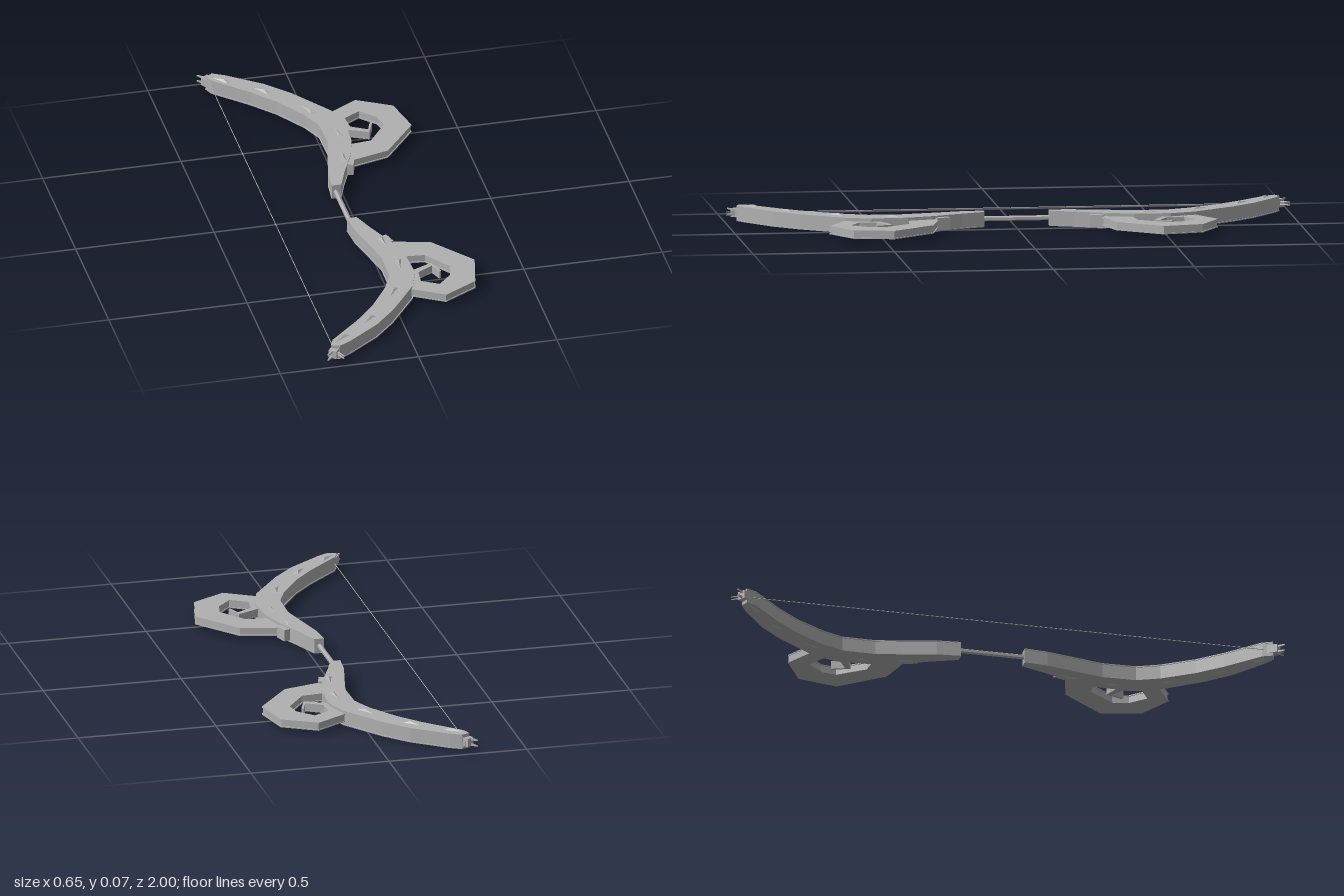
import * as THREE from 'three';

const steel = new THREE.MeshStandardMaterial({ color: 0xb0b0b0, flatShading: true });
steel.name = 'grey';

const MID = 0.035; // height of the flat weapon's centre plane

// Paired edge points [x1, z1, x2, z2] across each strip, on the +z half
const LIMB = [
  [-0.048, 0.115, -0.012, 0.115], [-0.04, 0.2, 0.02, 0.2], [-0.012, 0.32, 0.068, 0.31],
  [0.008, 0.41, 0.093, 0.4], [0.006, 0.53, 0.1, 0.53], [-0.028, 0.61, 0.07, 0.62],
  [-0.1, 0.72, -0.037, 0.767], [-0.175, 0.805, -0.115, 0.85], [-0.29, 0.915, -0.235, 0.94],
  [-0.305, 0.95, -0.275, 0.962],
];
const CURL = [
  [0.06, 0.285, 0.06, 0.395], [0.206, 0.323, 0.164, 0.405], [0.328, 0.476, 0.233, 0.5],
  [0.296, 0.62, 0.222, 0.555], [0.175, 0.688, 0.17, 0.61], [0.06, 0.62, 0.11, 0.575],
  [0.09, 0.5, 0.115, 0.515], [0.172, 0.462, 0.172, 0.482], [0.196, 0.522, 0.189, 0.528],
];
// Studs along the limb: x, z
const STUDS = [[0.037, 0.29], [0.06, 0.45], [-0.003, 0.635], [-0.127, 0.8], [-0.25, 0.905]];

function add(parent, geometry, name) {
  const mesh = new THREE.Mesh(geometry, steel);
  mesh.name = name;
  parent.add(mesh);
  return mesh;
}

// Flat slab from paired edges, narrowed by the inset fraction
function slab(pairs, side, inset, y0, y1) {
  const a = [], b = [];
  for (const [x1, z1, x2, z2] of pairs) {
    const dx = (x2 - x1) * inset, dz = (z2 - z1) * inset;
    a.push(new THREE.Vector2(x1 + dx, side * (z1 + dz)));
    b.push(new THREE.Vector2(x2 - dx, side * (z2 - dz)));
  }
  const g = new THREE.ExtrudeGeometry(new THREE.Shape([...a, ...b.reverse()]), {
    depth: y1 - y0, bevelEnabled: false,
  });
  return g.rotateX(Math.PI / 2).translate(0, y1, 0);
}

// Inset core between two thin rim plates
function rimmed(parent, pairs, side, half, name) {
  const rim = 0.004;
  add(parent, slab(pairs, side, 0.04, MID - half + rim, MID + half - rim), name + 'Core');
  add(parent, slab(pairs, side, 0, MID + half - rim, MID + half), name + 'TopRim');
  add(parent, slab(pairs, side, 0, MID - half, MID - half + rim), name + 'BottomRim');
}

// Tapered rod between two points
function rod(parent, from, to, r0, r1, sides, name) {
  const a = new THREE.Vector3(...from), b = new THREE.Vector3(...to);
  const dir = b.clone().sub(a);
  const mesh = add(parent, new THREE.CylinderGeometry(r1, r0, dir.length(), sides), name);
  mesh.position.copy(a).add(b).multiplyScalar(0.5);
  mesh.quaternion.setFromUnitVectors(new THREE.Vector3(0, 1, 0), dir.normalize());
}

function makeHalf(side) {
  const half = new THREE.Group();
  half.name = side > 0 ? 'frontHalf' : 'backHalf';
  rimmed(half, LIMB, side, 0.027, 'limb');
  rimmed(half, CURL, side, 0.015, 'curl');

  // Block where the curl joins the limb
  const joint = add(half, new THREE.BoxGeometry(0.035, 0.042, 0.05), 'curlJoint');
  joint.position.set(0.054, MID, side * 0.275);
  joint.rotation.y = side * 0.3;

  // Low three-sided studs on both faces, following the limb
  STUDS.forEach(([x, z], i) => {
    const [px, pz] = STUDS[Math.max(i - 1, 0)], [nx, nz] = STUDS[Math.min(i + 1, 4)];
    const angle = Math.atan2(nx - px, side * (nz - pz));
    for (const up of [1, -1]) {
      const g = new THREE.ConeGeometry(1, 0.008, 3).scale(0.015, 1, 0.052);
      if (up < 0) g.rotateZ(Math.PI);
      const stud = add(half, g, 'stud');
      stud.position.set(x, MID + up * 0.03, side * z);
      stud.rotation.y = angle;
    }
  });

  // Tip: short block and splayed prongs
  const block = add(half, new THREE.BoxGeometry(0.03, 0.03, 0.04), 'tipBlock');
  block.position.set(-0.293, MID, side * 0.955);
  block.rotation.y = -side * 0.6;
  for (const dy of [-0.009, 0.009]) {
    rod(half, [-0.288, MID + dy, side * 0.95], [-0.325, MID + dy * 1.2, side * 0.988], 0.007, 0.003, 4, 'outerProng');
    rod(half, [-0.295, MID + dy * 0.4, side * 0.95], [-0.268, MID + dy * 0.6, side * 0.999], 0.006, 0.002, 4, 'innerProng');
  }
  return half;
}

export function createModel() {
  const model = new THREE.Group();
  model.name = 'bow';
  model.add(makeHalf(1), makeHalf(-1));
  rod(model, [-0.032, MID, -0.13], [-0.032, MID, 0.13], 0.009, 0.009, 6, 'grip');
  rod(model, [-0.29, MID, -0.95], [-0.29, MID, 0.95], 0.0015, 0.0015, 4, 'string');
  return model;
}
